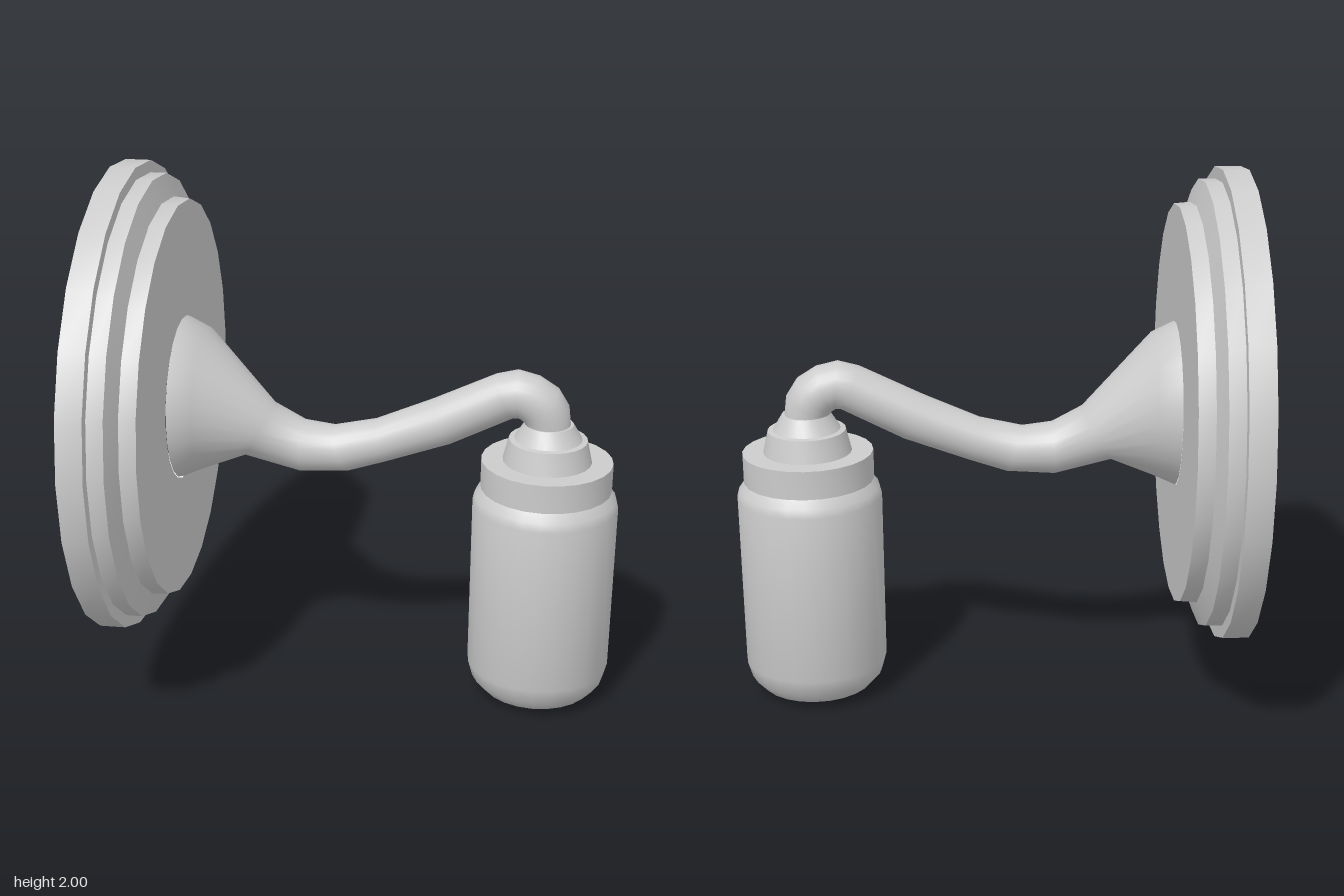
import * as THREE from 'three';
import { toCreasedNormals } from 'three/addons/utils/BufferGeometryUtils.js';

const material = new THREE.MeshStandardMaterial({ color: 0xcccccc, side: THREE.DoubleSide });

// Turned part; profile points are [radius, height], from bottom to top
function turned(name, profile, crease) {
  const points = profile.map(([r, h]) => new THREE.Vector2(r, h));
  const mesh = new THREE.Mesh(toCreasedNormals(new THREE.LatheGeometry(points, 24), crease), material);
  mesh.name = name;
  return mesh;
}

// Round tube through rings, each given by its upper and lower edge point [xTop, yTop, xBottom, yBottom]
function loft(rings, sides) {
  const positions = [], index = [];
  rings.forEach(([xt, yt, xb, yb], i) => {
    const cx = (xt + xb) / 2, cy = (yt + yb) / 2;
    const radius = Math.hypot(xt - xb, yt - yb) / 2;
    for (let j = 0; j < sides; j++) {
      const angle = (j / sides) * Math.PI * 2, c = Math.cos(angle);
      positions.push(cx + (xt - cx) * c, cy + (yt - cy) * c, radius * Math.sin(angle));
      if (i === rings.length - 1) continue;
      const a = i * sides + j, b = i * sides + ((j + 1) % sides);
      index.push(a, b, a + sides, b, b + sides, a + sides);
    }
  });
  const geometry = new THREE.BufferGeometry();
  geometry.setAttribute('position', new THREE.Float32BufferAttribute(positions, 3));
  geometry.setIndex(index);
  geometry.computeVertexNormals();
  return geometry;
}

export function createModel() {
  const model = new THREE.Group();
  model.name = 'wallLamp';

  // Stepped wall plate, an open shell at the back
  const plate = turned('wallPlate', [
    [0.87, -0.935], [0.87, -0.84], [0.825, -0.84], [0.825, -0.78],
    [0.74, -0.75], [0.735, -0.69], [0.305, -0.69],
  ], 0.5);
  plate.rotation.z = -Math.PI / 2;
  plate.position.y = 1.13;
  model.add(plate);

  // Curved arm, flaring out to the plate
  const arm = new THREE.Mesh(loft([
    [-0.69, 1.435, -0.69, 0.83],
    [-0.605, 1.395, -0.61, 0.865],
    [-0.35, 1.12, -0.46, 0.92],
    [-0.24, 1.06, -0.25, 0.865],
    [-0.13, 1.045, -0.07, 0.875],
    [0.03, 1.08, 0.07, 0.92],
    [0.24, 1.17, 0.31, 1.005],
    [0.47, 1.28, 0.54, 1.12],
    [0.55, 1.3, 0.56, 1.12],
    [0.63, 1.28, 0.573, 1.11],
    [0.7, 1.235, 0.58, 1.1],
    [0.74, 1.17, 0.584, 1.09],
    [0.75, 1.08, 0.585, 1.08],
  ], 24), material);
  arm.name = 'arm';
  model.add(arm);

  // Lamp head, leaning very slightly
  const lamp = new THREE.Group();
  lamp.name = 'lampHead';
  lamp.position.set(0.652, 0.003, 0);
  lamp.rotation.z = -0.015;
  lamp.add(
    turned('socket', [
      [0.165, 0.95], [0.145, 1.037], [0.125, 1.04], [0.09, 1.098], [0, 1.098],
    ], 0.5),
    turned('cap', [
      [0, 0.845], [0.243, 0.845], [0.243, 0.953], [0, 0.953],
    ], 0.5),
    turned('jar', [
      [0, 0.012], [0.08, 0.004], [0.15, 0], [0.21, 0.025], [0.25, 0.07], [0.267, 0.13],
      [0.27, 0.78], [0.262, 0.812], [0.228, 0.85],
    ], 0.9),
  );
  model.add(lamp);

  return model;
}
